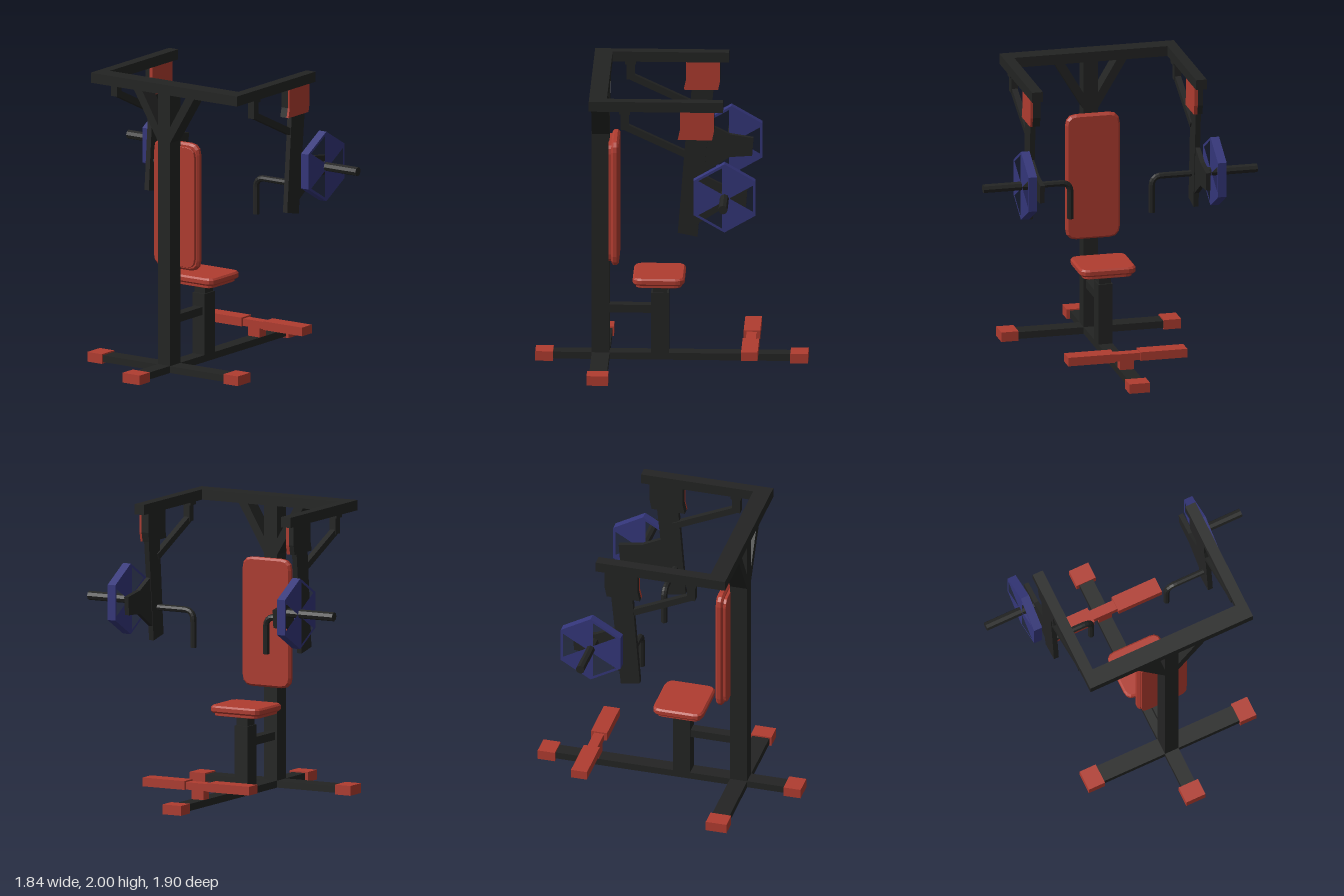
import * as THREE from 'three';

const mat = (name, color, extra = {}) => {
  const m = new THREE.MeshStandardMaterial({ color, ...extra });
  m.name = name;
  return m;
};

export function createModel() {
  const model = new THREE.Group();
  model.name = 'chestPressMachine';
  const black = mat('blackSteel', 0x232423);
  const red = mat('redVinyl', 0xb03c30);
  const blue = mat('blueWeight', 0x34367a);
  black.flatShading = red.flatShading = blue.flatShading = true;

  const add = (name, geometry, material, parent = model) => {
    const mesh = new THREE.Mesh(geometry, material);
    mesh.name = name;
    parent.add(mesh);
    return mesh;
  };
  // Box given by its limits on each axis
  const box = (name, m, [x0, x1], [y0, y1], [z0, z1], parent) => {
    const mesh = add(name, new THREE.BoxGeometry(x1 - x0, y1 - y0, z1 - z0), m, parent);
    mesh.position.set((x0 + x1) / 2, (y0 + y1) / 2, (z0 + z1) / 2);
    return mesh;
  };
  const outline = (pts) => new THREE.Shape(pts.map(([x, y]) => new THREE.Vector2(x, y)));
  // Plate in the xy plane, between two z limits
  const plate = (name, m, pts, z0, z1, parent) => {
    const g = new THREE.ExtrudeGeometry(outline(pts), { depth: z1 - z0, bevelEnabled: false });
    g.translate(0, 0, z0);
    return add(name, g, m, parent);
  };

  // Base rails and end caps
  box('baseRail', black, [-0.9, 0.9], [0.01, 0.058], [-0.05, 0.05]);
  box('rearCrossRail', black, [-0.54, -0.42], [0.01, 0.057], [-0.6, 0.6]);
  for (const s of [-1, 1]) {
    box('railCap', red, [s * 0.86 - 0.06, s * 0.86 + 0.06], [0, 0.067], [-0.072, 0.072]);
    box('crossRailCap', red, [-0.555, -0.41], [0, 0.067], [s * 0.565 - 0.06, s * 0.565 + 0.06]);
  }

  // Upright and top frame
  box('upright', black, [-0.54, -0.42], [0.02, 1.96], [-0.05, 0.05]);
  box('topRearBar', black, [-0.54, -0.42], [1.93, 2], [-0.607, 0.607]);
  for (const s of [-1, 1]) {
    box('topSideBar', black, [-0.48, 0.365], [1.93, 2], [s * 0.57 - 0.037, s * 0.57 + 0.037]);
    const brace = new THREE.ExtrudeGeometry(
      outline([[0.02, 1.58], [0.05, 1.6], [0.255, 1.94], [0.185, 1.94], [0.02, 1.66]]),
      { depth: 0.118, bevelEnabled: false });
    brace.translate(0, 0, -0.059);
    const mesh = add('topBrace', brace, black);
    mesh.rotation.y = s * Math.PI / 2;
    mesh.position.x = -0.48;
  }

  // Seat column
  box('seatPost', black, [-0.14, -0.02], [0.04, 0.48], [-0.05, 0.05]);
  box('seatSlider', black, [-0.125, -0.033], [0.46, 0.56], [-0.042, 0.042]);
  box('seatStrut', black, [-0.43, -0.13], [0.335, 0.39], [-0.035, 0.035]);

  // Cushion with rounded corners and chamfered edges, thickness along +z
  const cushion = (w, h, r, depth, bevel) => {
    const x = w / 2 - bevel, y = h / 2 - bevel;
    const s = new THREE.Shape();
    s.moveTo(-x + r, -y).lineTo(x - r, -y).quadraticCurveTo(x, -y, x, -y + r);
    s.lineTo(x, y - r).quadraticCurveTo(x, y, x - r, y);
    s.lineTo(-x + r, y).quadraticCurveTo(-x, y, -x, y - r);
    s.lineTo(-x, -y + r).quadraticCurveTo(-x, -y, -x + r, -y);
    const g = new THREE.ExtrudeGeometry(s, {
      depth: depth - 2 * bevel, bevelEnabled: true, bevelSize: bevel,
      bevelThickness: bevel, bevelSegments: 1, curveSegments: 3,
    });
    return g.translate(0, 0, bevel);
  };
  const pad = (name, w, h, r, base, top, bevel) => {
    const group = new THREE.Group();
    group.name = name;
    add(name + 'Base', cushion(w - 0.04, h - 0.05, r, base + 0.01, 0.002), red, group);
    add(name + 'Cushion', cushion(w, h, r, top, bevel), red, group).position.z = base;
    model.add(group);
    return group;
  };
  const back = pad('backrest', 0.375, 0.88, 0.06, 0.02, 0.05, 0.014);
  back.rotation.y = Math.PI / 2;
  back.position.set(-0.424, 1.14, 0);
  const seat = pad('seat', 0.35, 0.39, 0.05, 0.02, 0.05, 0.012);
  seat.rotation.x = -Math.PI / 2;
  seat.position.set(-0.085, 0.551, 0);

  // Footrest
  box('footrestPost', red, [0.5, 0.57], [0.05, 0.13], [-0.048, 0.048]);
  box('footrestBridge', red, [0.5, 0.57], [0.12, 0.17], [-0.1, 0.1]);
  for (const s of [-1, 1])
    box('footBar', red, [0.48, 0.592], [0.12, 0.18], [s * 0.252 - 0.162, s * 0.252 + 0.162]);

  // Hexagonal weight: alternate sectors are open windows
  const hexWeight = () => {
    const R = 0.241;
    const corner = (i, r = R) => [r * Math.sin(i * Math.PI / 3), r * Math.cos(i * Math.PI / 3)];
    const shape = outline([0, 1, 2, 3, 4, 5].map((i) => corner(i)));
    for (const i of [1, 3, 5]) {
      const a = corner(i), b = corner(i + 1);
      const c = [(a[0] + b[0]) / 3, (a[1] + b[1]) / 3];
      const hole = [[0, 0], a, b].map(([x, y]) =>
        new THREE.Vector2(c[0] + (x - c[0]) * 0.76, c[1] + (y - c[1]) * 0.76));
      shape.holes.push(new THREE.Path(hole));
    }
    return new THREE.ExtrudeGeometry(shape, { depth: 0.06, bevelEnabled: false }).translate(0, 0, -0.03);
  };

  const guard = [[0.06, 1.735], [0.292, 1.735], [0.305, 1.8], [0.305, 1.935], [0.075, 1.935], [0.075, 1.8]];
  for (const s of [-1, 1]) {
    const arm = new THREE.Group();
    arm.name = s > 0 ? 'leftPressArm' : 'rightPressArm';
    model.add(arm);
    const slab = (name, pts, c, half) => plate(name, black, pts, s * c - half, s * c + half, arm);

    // Swinging arm and weight bracket
    slab('pressLever', [[0.06, 1.077], [0.193, 1.05], [0.277, 1.9], [0.125, 1.9]], 0.575, 0.018);
    slab('weightBracket', [[0.11, 1.11], [0.19, 1.14], [0.37, 1.255], [0.52, 1.265],
      [0.53, 1.39], [0.37, 1.415], [0.22, 1.49], [0.14, 1.5]], 0.577, 0.016);

    // Link to the top frame
    box('linkMount', black, [-0.335, -0.262], [1.91, 1.935], [s * 0.568 - 0.035, s * 0.568 + 0.035], arm);
    box('linkHanger', black, [-0.325, -0.27], [1.8, 1.92], [s * 0.568 - 0.024, s * 0.568 + 0.024], arm);
    slab('link', [[-0.31, 1.8], [0.13, 1.595], [0.15, 1.635], [-0.29, 1.84]], 0.568, 0.02);

    // Pivot guard, faced in red on its +z side
    const [g0, g1, g2] = s > 0 ? [0.535, 0.587, 0.603] : [-0.595, -0.56, -0.535];
    plate('pivotGuard', black, guard, g0, g1, arm);
    plate('pivotGuardFace', red, guard, g1, g2, arm);

    // Weight and its peg
    const peg = add('weightPeg', new THREE.CylinderGeometry(0.031, 0.031, 0.39, 8), black, arm);
    peg.rotation.x = Math.PI / 2;
    peg.position.set(0.378, 1.353, s * 0.757);
    add('weight', hexWeight(), blue, arm).position.set(0.378, 1.353, s * 0.659);

    // Bent handle
    const v = (y, z) => new THREE.Vector3(0.133, y, s * z);
    const path = new THREE.CurvePath();
    path.add(new THREE.LineCurve3(v(1.27, 0.57), v(1.27, 0.35)));
    path.add(new THREE.QuadraticBezierCurve3(v(1.27, 0.35), v(1.27, 0.283), v(1.2, 0.283)));
    path.add(new THREE.LineCurve3(v(1.2, 0.283), v(1.015, 0.283)));
    add('handle', new THREE.TubeGeometry(path, 24, 0.022, 8, false), black, arm);
    const cap = add('handleEnd', new THREE.CylinderGeometry(0.022, 0.022, 0.01, 8), black, arm);
    cap.position.set(0.133, 1.02, s * 0.283);
  }
  return model;
}
